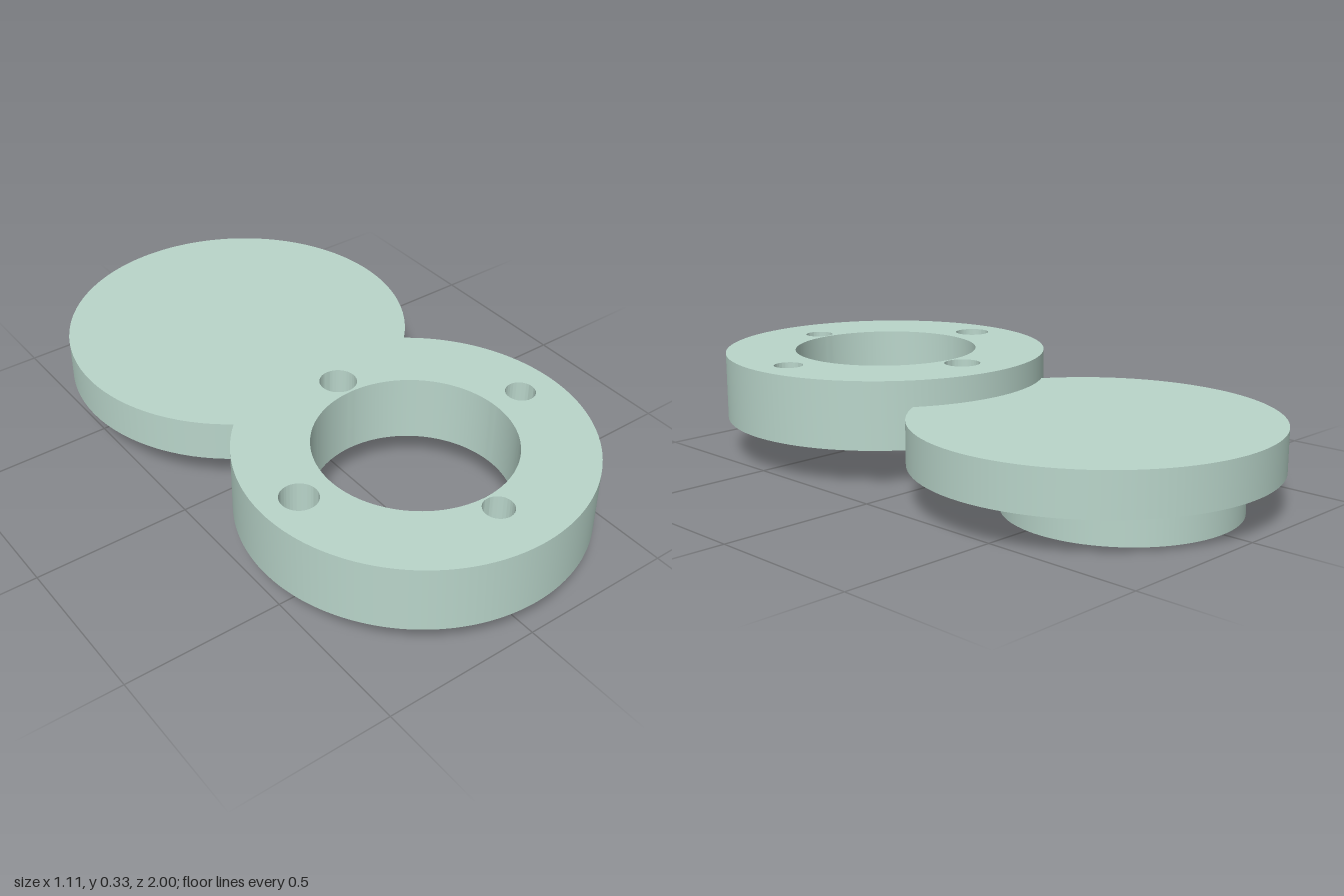
import * as THREE from 'three';
import { toCreasedNormals } from 'three/addons/utils/BufferGeometryUtils.js';

const material = new THREE.MeshStandardMaterial({ color: 0xb9d5ca });

// Upright solid disc between two heights
function disc(name, radius, y0, y1, z) {
  const mesh = new THREE.Mesh(new THREE.CylinderGeometry(radius, radius, y1 - y0, 96), material);
  mesh.position.set(0, (y0 + y1) / 2, z);
  mesh.name = name;
  return mesh;
}

// Flat ring with a large bore and four bolt holes, [x, z, radius] from its centre
function ring(name, radius, holes, y0, y1, z) {
  const shape = new THREE.Shape().absarc(0, 0, radius, 0, Math.PI * 2, false);
  for (const [hx, hz, r] of holes) {
    shape.holes.push(new THREE.Path().absarc(hx, -hz, r, 0, Math.PI * 2, true));
  }
  const extruded = new THREE.ExtrudeGeometry(shape, { depth: y1 - y0, bevelEnabled: false, curveSegments: 96 });
  extruded.rotateX(-Math.PI / 2);
  const mesh = new THREE.Mesh(toCreasedNormals(extruded, Math.PI / 6), material);
  mesh.position.set(0, y0, z);
  mesh.name = name;
  return mesh;
}

export function createModel() {
  const model = new THREE.Group();
  model.name = 'flangeAndDisc';

  // Front flange ring: bore, then back, left, right and front holes
  const holes = [
    [0, 0, 0.3],
    [0, -0.365, 0.057],
    [-0.408, 0, 0.057],
    [0.408, 0, 0.046],
    [0, 0.353, 0.046],
  ];
  model.add(ring('flangeRing', 0.528, holes, 0.117, 0.332, 0.472));

  // Rear disc, running into the ring, with an off-centre boss beneath
  model.add(disc('rearDisc', 0.554, 0.117, 0.25, -0.446));
  model.add(disc('lowerBoss', 0.355, 0, 0.117, -0.55));

  return model;
}
